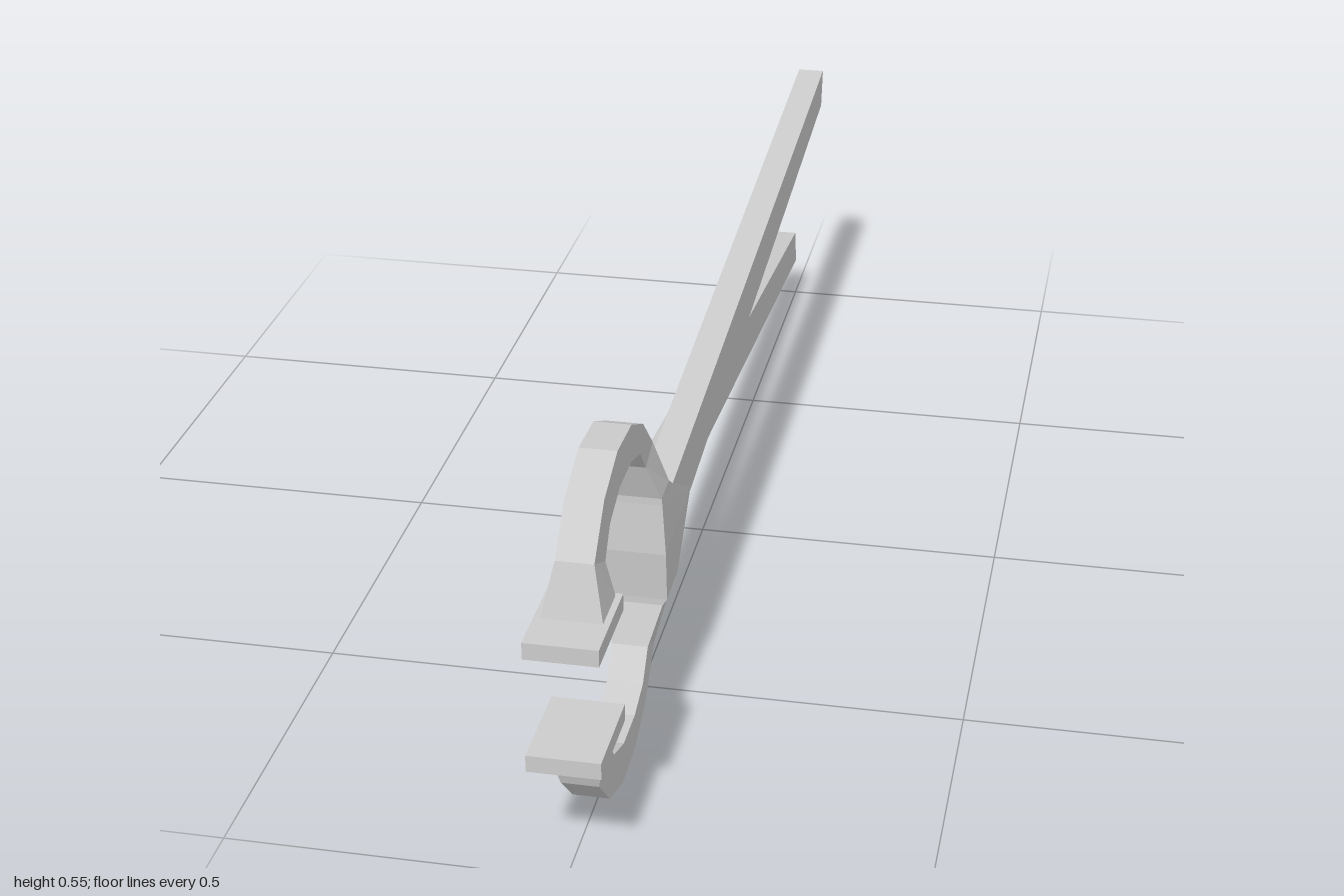
import * as THREE from 'three';

const material = new THREE.MeshStandardMaterial({ color: 0xcccccc, flatShading: true });
const MID = 0.275; // height of the tongs' centre line

// Closed solid through rings of [x, y, z] points, capped at both ends
function loft(name, rings) {
  const tris = [], n = rings[0].length;
  for (let r = 0; r + 1 < rings.length; r++) {
    const a = rings[r], b = rings[r + 1];
    for (let i = 0; i < n; i++) {
      const j = (i + 1) % n;
      tris.push([a[i], a[j], b[j]], [a[i], b[j], b[i]]);
    }
  }
  const first = rings[0], last = rings[rings.length - 1];
  for (let i = 1; i + 1 < n; i++) {
    tris.push([first[0], first[i + 1], first[i]], [last[0], last[i], last[i + 1]]);
  }
  // Turn the faces outward when the enclosed volume comes out negative
  let volume = 0;
  const v = (p) => new THREE.Vector3(...p);
  for (const [a, b, c] of tris) volume += v(a).dot(v(b).cross(v(c)));
  if (volume < 0) tris.forEach((t) => t.reverse());
  const geometry = new THREE.BufferGeometry();
  geometry.setAttribute('position', new THREE.Float32BufferAttribute(tris.flat(2), 3));
  geometry.computeVertexNormals();
  const mesh = new THREE.Mesh(geometry, material);
  mesh.name = name;
  return mesh;
}

function createHalf(name) {
  const half = new THREE.Group();
  half.name = name;

  // Handle: tapering bar on one side of the centre plane
  const bar = [[-1, 0.479], [-0.985, 0.413], [0.396, 0.262], [0.48, 0.3], [0.48, 0.352]];
  half.add(loft('handle', [0, 0.047].map((x) => bar.map(([z, y]) => [x, y, z]))));

  // Hinge plate: its rear edge slopes in toward the centre plane
  const inner = [[0.315, 0.266], [0.428, 0.198], [0.556, 0.195], [0.562, 0.275], [0.556, 0.355], [0.48, 0.352]];
  const outer = [[0.374, 0.289, 0.053], [0.476, 0.198, 0.053], [0.556, 0.195, 0.053],
    [0.562, 0.275, 0.053], [0.556, 0.355, 0.047], [0.48, 0.352, 0.047]];
  half.add(loft('hingePlate', [
    inner.map(([z, y]) => [0, y, z]),
    outer.map(([z, y, x]) => [x, y, z]),
  ]));

  // Curved jaw: outer z, y; inner z, y; left and right half widths
  const w = 0.0275;
  const sections = [
    [0.48, 0.352, 0.556, 0.355, 0.053, 0.047],
    [0.503, 0.369, 0.556, 0.366, 0.046, 0.046],
    [0.53, 0.446, 0.578, 0.428, w, w],
    [0.594, 0.508, 0.615, 0.47, w, w],
    [0.67, 0.545, 0.674, 0.488, w, w],
    [0.76, 0.55, 0.749, 0.488, w, w],
    [0.845, 0.519, 0.813, 0.465, w, w],
    [0.909, 0.455, 0.845, 0.424, w, w],
    [0.936, 0.372, 0.856, 0.372, 0.045, 0.045],
  ];
  half.add(loft('jaw', sections.map(([zo, yo, zi, yi, l, r]) =>
    [[-l, yo, zo], [r, yo, zo], [r, yi, zi], [-l, yi, zi]])));

  // Flat gripping pad
  const pad = new THREE.Mesh(new THREE.BoxGeometry(0.106, 0.026, 0.15), material);
  pad.name = 'gripPad';
  pad.position.set(0, 0.365, 0.925);
  half.add(pad);
  return half;
}

export function createModel() {
  const model = new THREE.Group();
  model.name = 'tongs';
  const upper = createHalf('upperHalf');
  // The second half is the first turned half a turn about the long axis
  const lower = createHalf('lowerHalf');
  lower.rotation.z = Math.PI;
  lower.position.y = 2 * MID;
  model.add(upper, lower);
  return model;
}
